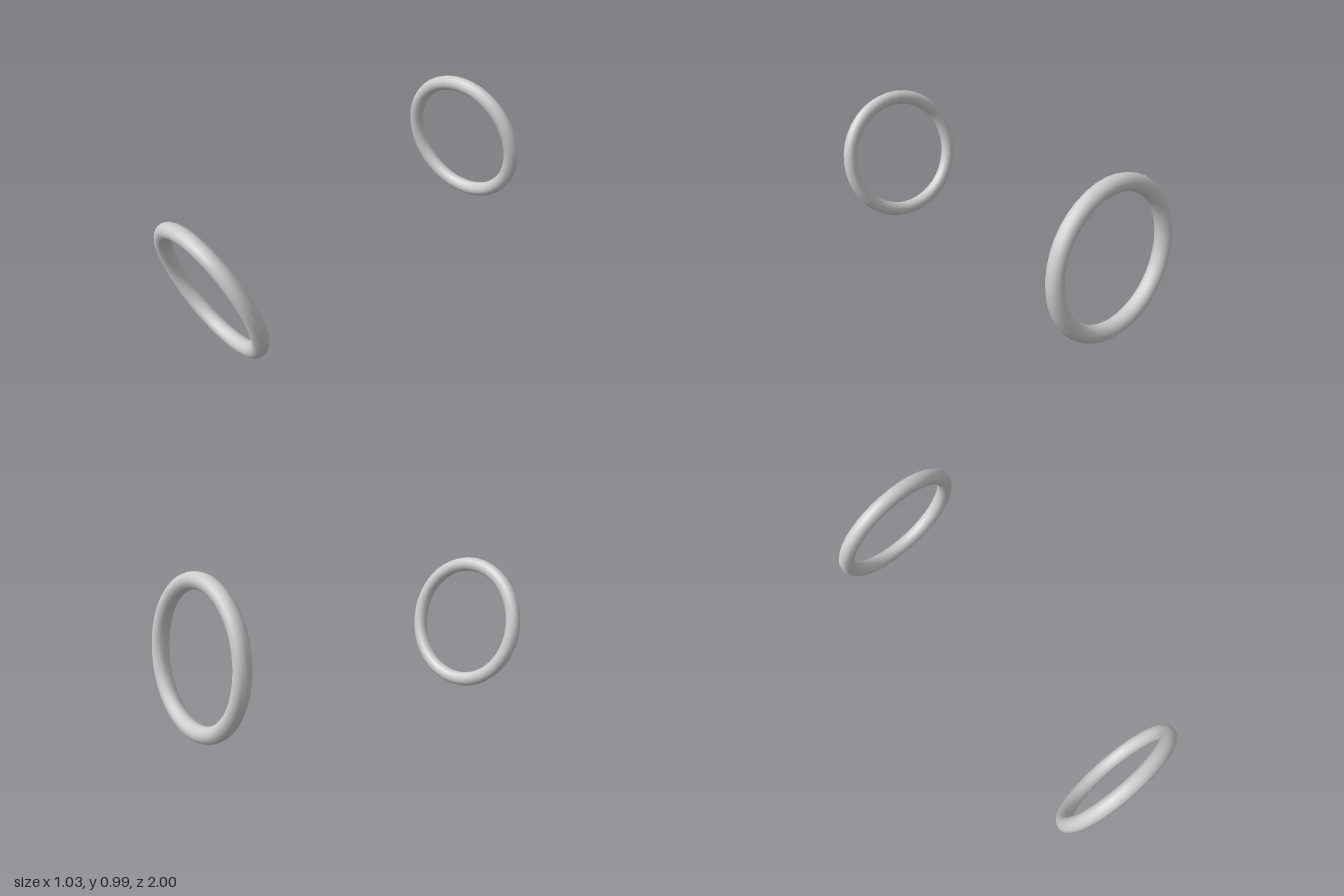
import * as THREE from 'three';

export function createModel() {
  const group = new THREE.Group();
  const material = new THREE.MeshStandardMaterial({ color: 0xcccccc });
  const geometry = new THREE.TorusGeometry(0.35, 0.041, 12, 40);

  // Both rings are the same hoop, leaning forward and turned slightly
  const addRing = (name, position, lean, turn) => {
    const ring = new THREE.Mesh(geometry, material);
    ring.name = name;
    ring.position.set(...position);
    ring.rotation.set(lean, turn, 0);
    group.add(ring);
  };

  addRing('frontRing', [-0.13, 0.385, 0.866], 0.255, -0.107);
  addRing('backRing', [0.127, 0.606, -0.895], 0.152, -0.1);

  return group;
}
